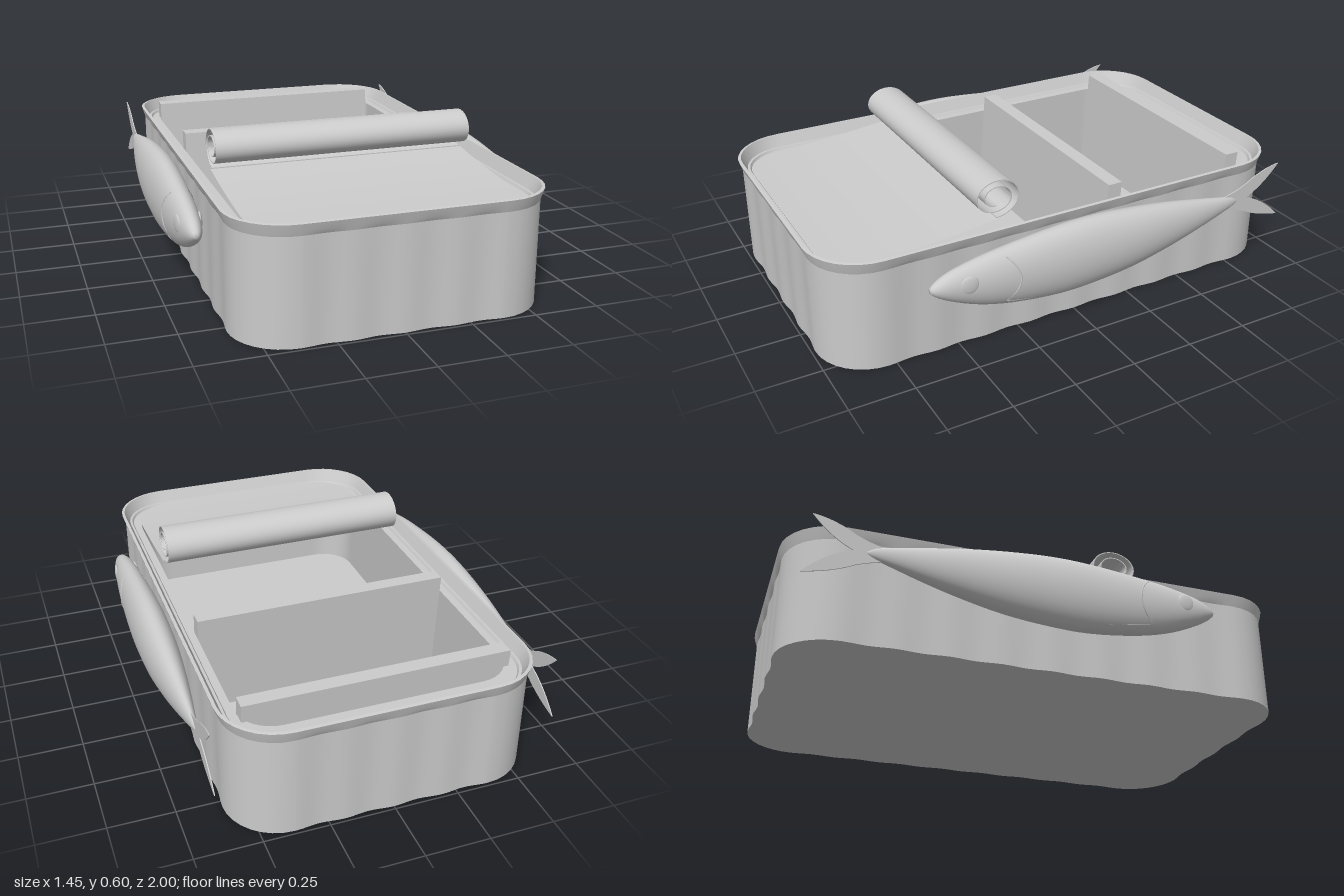
import * as THREE from 'three';
import { toCreasedNormals } from 'three/addons/utils/BufferGeometryUtils.js';

const mat = new THREE.MeshStandardMaterial({ color: 0xcccccc, side: THREE.DoubleSide });

function add(parent, name, geometry) {
  const mesh = new THREE.Mesh(geometry, mat);
  mesh.name = name;
  parent.add(mesh);
  return mesh;
}

// Skin a list of closed rings (equal point counts) into one smooth surface
function loft(rings) {
  const n = rings[0].length, index = [];
  for (let i = 0; i < rings.length - 1; i++) {
    for (let j = 0; j < n; j++) {
      const a = i * n + j, b = i * n + (j + 1) % n;
      index.push(a, a + n, b, b, a + n, b + n);
    }
  }
  const g = new THREE.BufferGeometry().setFromPoints(rings.flat());
  g.setIndex(index);
  g.computeVertexNormals();
  return g;
}

// Rounded rectangle in the xz plane; ripple flutes the straight sides
function outline({ hx, hz, r, y, ripple = 0 }) {
  const pts = [], corner = 8, side = 48;
  const cx = hx - r, cz = hz - r;
  const signs = [[1, 1], [-1, 1], [-1, -1], [1, -1]];
  for (let k = 0; k < 4; k++) {
    const [sx, sz] = signs[k], [nx, nz] = signs[(k + 1) % 4];
    for (let i = 0; i <= corner; i++) {
      const a = (k + i / corner) * Math.PI / 2;
      pts.push(new THREE.Vector3(sx * cx + r * Math.cos(a), y, sz * cz + r * Math.sin(a)));
    }
    const a = (k + 1) * Math.PI / 2, dx = Math.round(Math.cos(a)), dz = Math.round(Math.sin(a));
    const waves = k % 2 ? 8 : 4;
    for (let i = 1; i < side; i++) {
      const t = i / side;
      const w = ripple * (1 - Math.cos(t * waves * 2 * Math.PI)) / 2;
      pts.push(new THREE.Vector3(
        THREE.MathUtils.lerp(sx * cx, nx * cx, t) + dx * (r - w),
        y,
        THREE.MathUtils.lerp(sz * cz, nz * cz, t) + dz * (r - w)));
    }
  }
  return pts;
}

// Extrude a (z, y) shape across x, centred on x = 0
function extrudeAcross(shape, width) {
  const g = new THREE.ExtrudeGeometry(shape, { depth: width, bevelEnabled: false, curveSegments: 12 });
  g.rotateY(-Math.PI / 2).translate(width / 2, 0, 0);
  return toCreasedNormals(g, 0.6);
}

function makeTin() {
  const tin = new THREE.Group();
  tin.name = 'tin';
  const inset = (d, y, ripple) => ({ hx: 0.6 - d, hz: 1 - d, r: 0.22 - d, y, ripple });
  const opening = (y) => ({ hx: 0.52, hz: 0.88, r: 0.14, y });
  const centre = (y) => ({ hx: 0, hz: 0, r: 0, y });
  // Each band is skinned on its own so the edges between them stay sharp
  const bands = [
    ['base', centre(0), inset(0.014, 0, 0.008)],
    ['outerWall', inset(0.014, 0, 0.008), inset(0.014, 0.4, 0.004)],
    ['rimFlare', inset(0.014, 0.4, 0.004), inset(0.008, 0.418), inset(0, 0.445)],
    ['rimTop', inset(0, 0.445), inset(0.012, 0.447)],
    ['rimInside', inset(0.012, 0.447), inset(0.034, 0.4)],
    ['rimStep', inset(0.034, 0.4), inset(0.044, 0.4)],
    ['rimStepEdge', inset(0.044, 0.4), inset(0.05, 0.39)],
    ['ledge', inset(0.05, 0.39), opening(0.39)],
    ['innerWall', opening(0.39), opening(0.02)],
    ['floor', opening(0.02), centre(0.02)],
  ];
  for (const [name, ...rings] of bands) add(tin, name, loft(rings.map(outline)));

  // Upright dividers, leaning back slightly, each with a thin foot behind it
  for (const z of [-0.22, -0.795]) {
    const g = new THREE.BoxGeometry(1.03, 0.44, 0.06);
    const p = g.attributes.position;
    for (let i = 0; i < p.count; i++) if (p.getY(i) < 0) p.setZ(i, p.getZ(i) + 0.03);
    g.computeVertexNormals();
    add(tin, 'divider', g).position.set(0, 0.24, z);
    add(tin, 'dividerFoot', new THREE.BoxGeometry(1.03, 0.01, 0.08)).position.set(0, 0.025, z - 0.04);
  }
  return tin;
}

function makeLid() {
  const lid = new THREE.Group();
  lid.name = 'lid';
  // Sheet with rounded front corners, bending up towards the roll
  const sheet = new THREE.PlaneGeometry(1, 1, 8, 40);
  const p = sheet.attributes.position;
  for (let i = 0; i < p.count; i++) {
    const z = 0.3 + 0.64 * Math.sin((0.5 - p.getY(i)) * Math.PI / 2);
    const bend = Math.max(0, (z - 0.74) / 0.2);
    const half = 0.38 + 0.14 * Math.sqrt(Math.max(0, 1 - bend * bend));
    p.setXYZ(i, p.getX(i) * 2 * half, 0.4 + 0.045 * ((0.94 - z) / 0.64) ** 2, z);
  }
  sheet.computeVertexNormals();
  add(lid, 'lidSheet', sheet);

  // Rolled-up part: a spiral strip
  const outer = [], inner = [], steps = 80;
  for (let i = 0; i <= steps; i++) {
    const t = i / steps, a = t * 4 * Math.PI, r = 0.09 - 0.054 * t;
    const at = (q) => new THREE.Vector2(0.303 - 1.16 * q * Math.sin(a), 0.528 - 0.92 * q * Math.cos(a));
    outer.push(at(r));
    inner.unshift(at(r - 0.004));
  }
  add(lid, 'lidRoll', extrudeAcross(new THREE.Shape([...outer, ...inner]), 1.03));
  return lid;
}

// Fish cross-sections: z, top, bottom, half width
const SECTIONS = [
  [0.64, 0.318, 0.298, 0.01], [0.62, 0.335, 0.28, 0.022], [0.57, 0.36, 0.25, 0.036],
  [0.46, 0.388, 0.203, 0.051], [0.33, 0.408, 0.17, 0.061], [0.12, 0.43, 0.146, 0.07],
  [-0.03, 0.434, 0.15, 0.072], [-0.21, 0.422, 0.17, 0.067], [-0.38, 0.402, 0.207, 0.053],
  [-0.5, 0.382, 0.24, 0.039], [-0.61, 0.362, 0.275, 0.024], [-0.69, 0.345, 0.302, 0.011],
  [-0.72, 0.328, 0.318, 0.003],
];
const heightCurve = new THREE.CatmullRomCurve3(SECTIONS.map(([z, t, b]) => new THREE.Vector3(t, b, z)));
const widthCurve = new THREE.CatmullRomCurve3(SECTIONS.map(([z, , , w]) => new THREE.Vector3(w, 0, z)));

// Half width of the body surface at a given z and y
function surfaceX(z, y) {
  let i = 0;
  while (i < SECTIONS.length - 2 && SECTIONS[i + 1][0] > z) i++;
  const a = SECTIONS[i], b = SECTIONS[i + 1], k = (a[0] - z) / (a[0] - b[0]);
  const [top, bottom, w] = [1, 2, 3].map((c) => THREE.MathUtils.lerp(a[c], b[c], k));
  const v = (2 * y - top - bottom) / (top - bottom);
  return w * Math.sqrt(Math.max(0, 1 - v * v));
}

function makeFish() {
  const fish = new THREE.Group();
  fish.name = 'fish';
  // Body
  const rings = [], steps = 48, around = 32;
  for (let i = 0; i <= steps; i++) {
    const h = heightCurve.getPoint(i / steps), w = widthCurve.getPoint(i / steps).x;
    rings.push(Array.from({ length: around }, (_, j) => {
      const a = j / around * 2 * Math.PI;
      return new THREE.Vector3(w * Math.cos(a), (h.x + h.y) / 2 + (h.x - h.y) / 2 * Math.sin(a), h.z);
    }));
  }
  // Close the nose and the tail root
  for (const [end, put] of [[rings[0], 'unshift'], [rings[steps], 'push']]) {
    const c = end.reduce((s, p) => s.add(p), new THREE.Vector3()).divideScalar(around);
    rings[put](end.map(() => c.clone()));
  }
  add(fish, 'fishBody', loft(rings));

  // Forked tail fin
  const t = new THREE.Shape();
  t.moveTo(-0.6, 0.335);
  t.lineTo(-0.64, 0.35);
  t.quadraticCurveTo(-0.73, 0.365, -0.79, 0.405);
  t.quadraticCurveTo(-0.86, 0.44, -0.92, 0.445);
  t.quadraticCurveTo(-0.85, 0.36, -0.77, 0.325);
  t.quadraticCurveTo(-0.87, 0.29, -0.945, 0.208);
  t.quadraticCurveTo(-0.84, 0.225, -0.77, 0.262);
  t.quadraticCurveTo(-0.72, 0.285, -0.64, 0.3);
  add(fish, 'tailFin', extrudeAcross(t, 0.004));

  // Eye, gill edge and side fin on both flanks
  for (const side of [1, -1]) {
    const eye = add(fish, 'eye', new THREE.SphereGeometry(0.036, 20, 12));
    eye.scale.x = 0.25;
    eye.position.set(side * (surfaceX(0.505, 0.315) - 0.003), 0.315, 0.505);
    eye.rotation.y = side * -0.13;

    const strip = (name, pts, radius) => {
      const path = pts.map(([z, y]) => new THREE.Vector3(side * surfaceX(z, y), y, z));
      add(fish, name, new THREE.TubeGeometry(new THREE.CatmullRomCurve3(path), 24, radius, 6));
    };
    strip('gillEdge', [[0.355, 0.385], [0.325, 0.35], [0.308, 0.3], [0.32, 0.25], [0.355, 0.205]], 0.003);
    strip('sideFin', [[0.35, 0.2], [0.28, 0.188], [0.18, 0.172]], 0.002);
  }
  return fish;
}

export function createModel() {
  const model = new THREE.Group();
  model.name = 'openFishTin';
  model.add(makeTin(), makeLid());
  for (const side of [1, -1]) {
    const fish = makeFish();
    fish.position.x = side * 0.651;
    model.add(fish);
  }
  return model;
}
